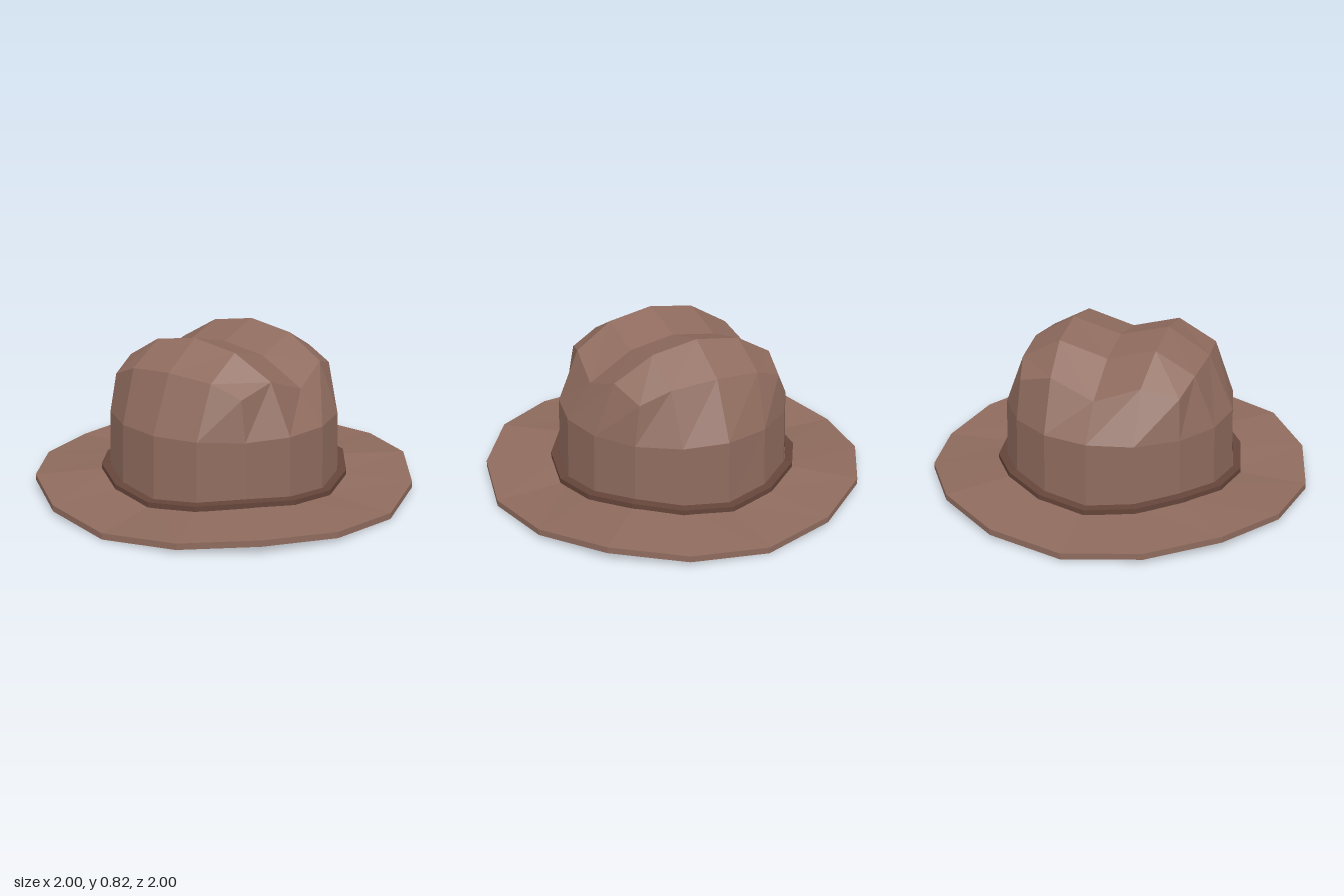
import * as THREE from 'three';

const SIDES = 16;

// The whole base dips at front, back, left and right and lifts on the diagonals
const wave = (x, z) => 0.042 * Math.sin(2 * Math.atan2(x, z)) ** 2;

// Low-poly ring from a closed (radius, height) profile, bent by the wave
function wavyRing(name, profile, material) {
  const geometry = new THREE.LatheGeometry(profile.map(([r, y]) => new THREE.Vector2(r, y)), SIDES);
  const p = geometry.attributes.position;
  for (let i = 0; i < p.count; i++) p.setY(i, p.getY(i) + wave(p.getX(i), p.getZ(i)));
  geometry.computeVertexNormals();
  const mesh = new THREE.Mesh(geometry, material);
  mesh.name = name;
  return mesh;
}

// One quarter of the creased top: [x, y, z] by row (centre to front) and column (centre to side)
const QUARTER = [
  [[0, 0.75, 0], [0.24, 0.71, 0], [0.47, 0.575, 0]],
  [[0, 0.82, 0.255], [0.24, 0.78, 0.25], [0.44, 0.66, 0.23]],
  [[0, 0.69, 0.47], [0.24, 0.67, 0.45], [0.39, 0.605, 0.41]],
];
function topPoint(i, j) {
  const [x, y, z] = QUARTER[Math.abs(j)][Math.abs(i)];
  return [Math.sign(i) * x, y, Math.sign(j) * z];
}

function crownGeometry() {
  const positions = [];
  const quad = (a, b, c, d) => positions.push(...a, ...b, ...c, ...a, ...c, ...d);

  // Rings of the wall: wavy foot, shoulder, then the rim of the creased top
  const rings = [
    (s, c) => [0.61 * s, 0.035 + wave(s, c), 0.61 * c],
    (s, c) => [0.6 * s, 0.4, 0.6 * c],
    (s, c) => {
      const m = Math.max(Math.abs(s), Math.abs(c));
      return topPoint(Math.round((2 * s) / m), Math.round((2 * c) / m));
    },
  ];
  const at = (level, k) => {
    const t = (k / SIDES) * Math.PI * 2;
    return rings[level](Math.sin(t), Math.cos(t));
  };
  for (let level = 0; level < 2; level++) {
    for (let k = 0; k < SIDES; k++) {
      quad(at(level, k), at(level, k + 1), at(level + 1, k + 1), at(level + 1, k));
    }
  }

  // Creased top: two ridges with a valley running from side to side
  for (let j = -2; j < 2; j++) {
    for (let i = -2; i < 2; i++) {
      quad(topPoint(i, j + 1), topPoint(i + 1, j + 1), topPoint(i + 1, j), topPoint(i, j));
    }
  }
  const geometry = new THREE.BufferGeometry();
  geometry.setAttribute('position', new THREE.Float32BufferAttribute(positions, 3));
  geometry.computeVertexNormals();
  return geometry;
}

export function createModel() {
  const felt = new THREE.MeshStandardMaterial({ color: 0x8f6b5e, flatShading: true, side: THREE.DoubleSide });
  felt.name = 'brown felt';
  const ribbon = new THREE.MeshStandardMaterial({ color: 0x65453a, flatShading: true });
  ribbon.name = 'dark brown ribbon';

  const hat = new THREE.Group();
  hat.name = 'hat';

  // Hollow crown
  const crown = new THREE.Mesh(crownGeometry(), felt);
  crown.name = 'crown';
  hat.add(crown);

  // Brim, open in the middle
  hat.add(wavyRing('brim', [[0.6, 0.014], [1, 0], [1, 0.032], [0.6, 0.045], [0.6, 0.014]], felt));

  // Band around the foot of the crown
  hat.add(wavyRing('band', [[0.612, 0.035], [0.655, 0.035], [0.655, 0.07], [0.612, 0.073], [0.612, 0.035]], ribbon));

  return hat;
}
